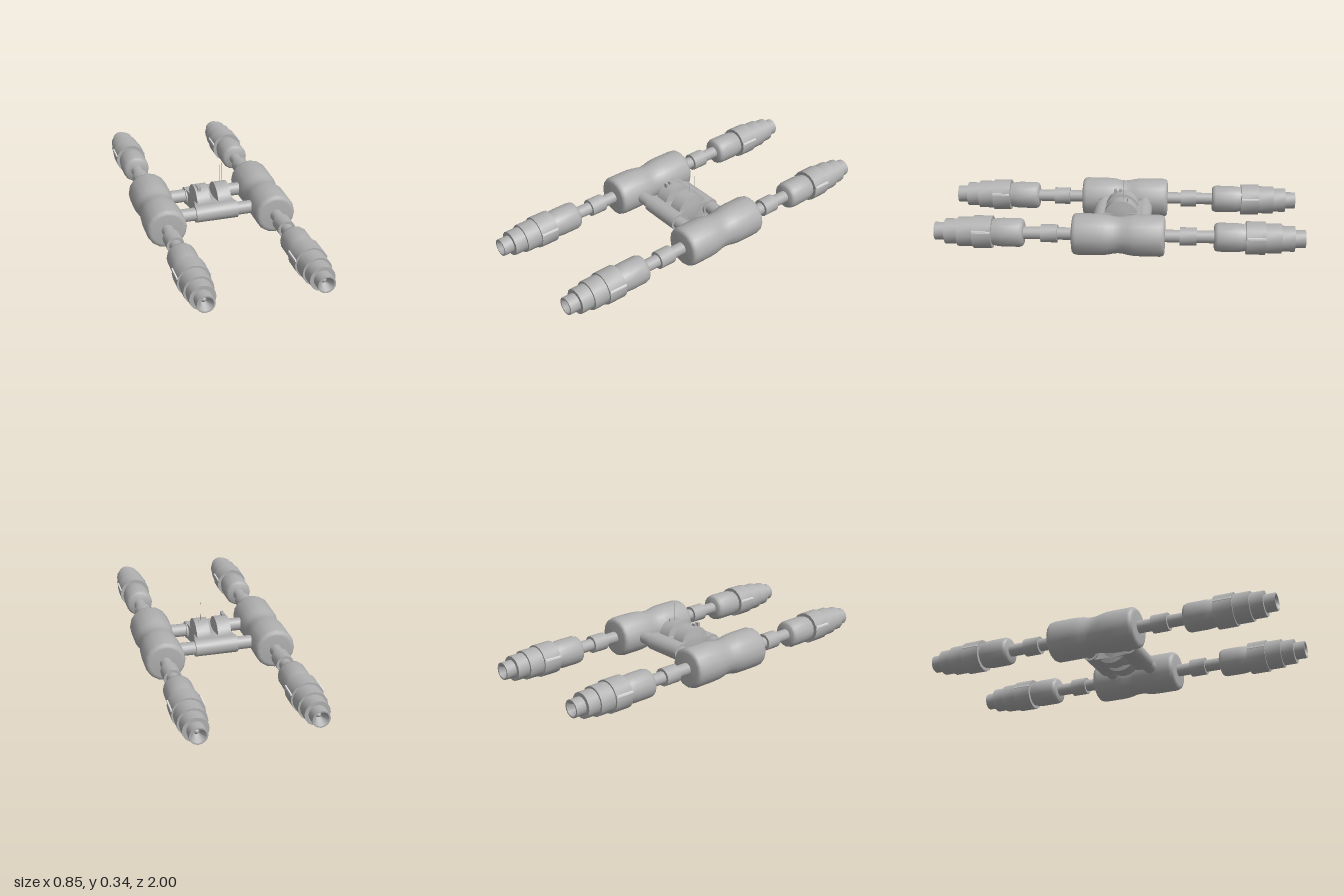
import * as THREE from 'three';
import { toCreasedNormals } from 'three/addons/utils/BufferGeometryUtils.js';

const hull = new THREE.MeshStandardMaterial({ color: 0xb0b0b0 });
hull.name = 'hull grey';
const light = new THREE.MeshStandardMaterial({ color: 0xf4f4f4 });
light.name = 'slot white';

const AXIS_Y = 0.112;

// Turned part from [radius, position along axis] pairs, edges kept crisp
function turned(name, pairs, sides = 16) {
  const pts = pairs.map(([r, h]) => new THREE.Vector2(r, h));
  const geo = toCreasedNormals(new THREE.LatheGeometry(pts, sides), 0.75);
  const mesh = new THREE.Mesh(geo, hull);
  mesh.name = name;
  return mesh;
}

function box(name, w, h, d, x, y, z, material = hull) {
  const mesh = new THREE.Mesh(new THREE.BoxGeometry(w, h, d), material);
  mesh.name = name;
  mesh.position.set(x, y, z);
  return mesh;
}

// Closed drum between two axial positions
const drum = (r, a, b) => [[0, a], [r, a], [r, b], [0, b]];

// Boom with joint, pod and stepped nozzle, running along +y before rotation
function makeBoom() {
  const boom = new THREE.Group();
  boom.name = 'boom';
  boom.add(
    turned('boomTube', drum(0.034, 0.22, 0.54)),
    turned('boomJoint', drum(0.049, 0.33, 0.42)),
    turned('pod', [[0, 0.514], [0.064, 0.514], [0.073, 0.52], [0.078, 0.535],
      [0.078, 0.63], [0.075, 0.66], [0.068, 0.69], [0, 0.69]]),
    turned('podCollar', drum(0.089, 0.683, 0.786)),
    turned('nozzleStepLarge', drum(0.08, 0.78, 0.872)),
    turned('nozzleStepMedium', drum(0.069, 0.87, 0.942)),
    turned('nozzleTip', [[0, 0.94], [0.048, 0.94], [0.048, 1], [0.04, 1], [0.014, 0.955], [0, 0.965]]),
  );
  return boom;
}

function makeNacelle(side) {
  const nacelle = new THREE.Group();
  nacelle.name = side > 0 ? 'leftNacelle' : 'rightNacelle';
  nacelle.position.set(side * 0.31, AXIS_Y, 0);

  // Waisted main body with rounded rims
  const half = [[0.099, 0], [0.101, 0.025], [0.108, 0.055], [0.112, 0.085], [0.113, 0.12],
    [0.113, 0.225], [0.109, 0.24], [0.1, 0.248], [0.088, 0.25], [0, 0.25]];
  const back = half.slice(1).reverse().map(([r, h]) => [r, -h]);
  const body = turned('nacelleBody', [...back, ...half]);
  body.rotation.x = Math.PI / 2;
  nacelle.add(body);

  // Booms to the front and the back
  for (const dir of [1, -1]) {
    const boom = makeBoom();
    boom.rotation.x = dir * Math.PI / 2;
    nacelle.add(boom);
    for (const s of [1, -1]) {
      nacelle.add(box('collarSlot', 0.009, 0.01, 0.1, s * 0.0855, 0.027, dir * 0.735, light));
    }
  }
  return nacelle;
}

export function createModel() {
  const model = new THREE.Group();
  model.name = 'twinHullCraft';
  model.add(makeNacelle(1), makeNacelle(-1));

  // Cross struts and the rounded rolls of the centre body
  for (const z of [0.115, -0.117]) {
    const strut = turned('crossStrut', drum(0.037, -0.25, 0.25));
    const roll = turned('bodyRoll', drum(0.049, -0.12, 0.12), 20);
    for (const part of [strut, roll]) {
      part.rotation.z = -Math.PI / 2;
      part.position.set(0, AXIS_Y, z);
      model.add(part);
    }
  }

  // Centre slab with hollowed flanks
  const slab = new THREE.Shape();
  slab.moveTo(-0.12, -0.115);
  slab.lineTo(0.12, -0.115);
  slab.quadraticCurveTo(0.088, 0, 0.12, 0.115);
  slab.lineTo(-0.12, 0.115);
  slab.quadraticCurveTo(-0.088, 0, -0.12, -0.115);
  const slabGeo = new THREE.ExtrudeGeometry(slab, { depth: 0.094, bevelEnabled: false, curveSegments: 8 });
  slabGeo.rotateX(-Math.PI / 2);
  const centre = new THREE.Mesh(toCreasedNormals(slabGeo, 0.6), hull);
  centre.name = 'centreSlab';
  centre.position.y = 0.065;
  model.add(centre);

  // Pair of bevelled discs standing through the slab
  for (const side of [1, -1]) {
    const disc = turned('cabinDisc', [[0, -0.049], [0.035, -0.049], [0.052, -0.046], [0.0965, -0.038],
      [0.0965, 0.038], [0.052, 0.046], [0.035, 0.049], [0, 0.049]], 20);
    disc.rotation.z = -Math.PI / 2;
    disc.position.set(side * 0.06, 0.132, 0);
    model.add(disc);
  }

  // Sensor boxes on the right disc
  for (const z of [0.015, 0.042]) {
    model.add(box('sensorBox', 0.018, 0.025, 0.016, -0.077, 0.2275, z));
  }

  // Whip antennas on the left disc: x, z, height of the thick base
  for (const [x, z, base] of [[0.06, -0.01, 0.265], [0.077, -0.035, 0.238]]) {
    const whip = new THREE.Mesh(new THREE.CylinderGeometry(0.0008, 0.0008, 0.135, 6), hull);
    whip.name = 'antennaWhip';
    whip.position.set(x, 0.2675, z);
    const root = new THREE.Mesh(new THREE.CylinderGeometry(0.0018, 0.0018, base - 0.2, 6), hull);
    root.name = 'antennaBase';
    root.position.set(x, (base + 0.2) / 2, z);
    model.add(whip, root);
  }
  return model;
}
